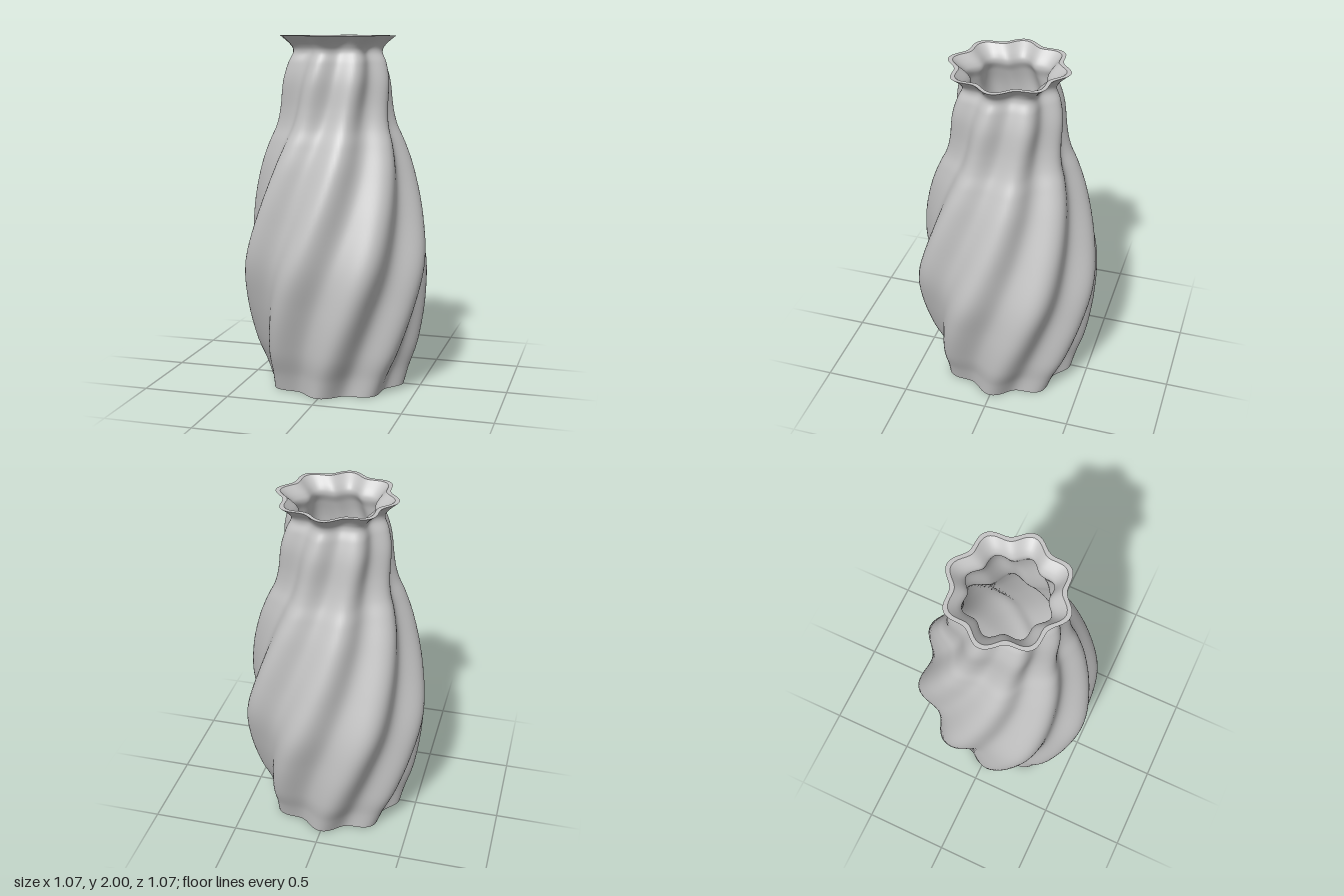
import * as THREE from 'three';

const LOBES = 8, SEGMENTS = 128, WALL = 0.025, FLOOR = 0.04;

// Crest radius and height, from base to flared lip
const crest = new THREE.SplineCurve([
  [0.4, 0], [0.425, 0.1], [0.475, 0.25], [0.523, 0.5], [0.542, 0.74], [0.502, 1.0], [0.44, 1.25],
  [0.388, 1.4], [0.345, 1.5], [0.325, 1.6], [0.315, 1.75], [0.291, 1.85], [0.265, 1.91],
  [0.281, 1.95], [0.337, 2],
].map(([r, y]) => new THREE.Vector2(r, y)));

// Fluted radius: eight lobes making a quarter turn from base to lip
function fluted(r, y, angle) {
  const phase = (2 - y) * Math.PI / 4;
  return r * (0.93 + 0.07 * Math.cos(LOBES * (angle - phase)));
}

// Surface swept round the axis; each profile row is { r, y, inset }
function sweep(rows) {
  const positions = [], index = [];
  rows.forEach(({ r, y, inset }, j) => {
    for (let i = 0; i < SEGMENTS; i++) {
      const a = i / SEGMENTS * Math.PI * 2;
      const radius = r === 0 ? 0 : fluted(r, y, a) - inset;
      positions.push(radius * Math.cos(a), y, radius * Math.sin(a));
      if (j === rows.length - 1) continue;
      const p = j * SEGMENTS + i, q = j * SEGMENTS + (i + 1) % SEGMENTS;
      index.push(p, p + SEGMENTS, q, q, p + SEGMENTS, q + SEGMENTS);
    }
  });
  const geometry = new THREE.BufferGeometry();
  geometry.setAttribute('position', new THREE.Float32BufferAttribute(positions, 3));
  geometry.setIndex(index);
  geometry.computeVertexNormals();
  return geometry;
}

export function createModel() {
  const vase = new THREE.Group();
  vase.name = 'vase';
  const ceramic = new THREE.MeshStandardMaterial({ color: 0xc4c4c4 });
  ceramic.name = 'grey ceramic';
  const add = (name, rows) => {
    const mesh = new THREE.Mesh(sweep(rows), ceramic);
    mesh.name = name;
    vase.add(mesh);
  };

  const outer = crest.getPoints(112).map(({ x, y }) => ({ r: x, y, inset: 0 }));
  const inner = outer.filter(p => p.y >= FLOOR).map(p => ({ ...p, inset: WALL })).reverse();
  const foot = outer[0], lip = outer[outer.length - 1], well = inner[inner.length - 1];

  add('base', [{ r: 0, y: 0, inset: 0 }, foot]);
  add('outerWall', outer);
  add('rim', [lip, inner[0]]);
  add('innerWall', inner);
  add('innerFloor', [well, { r: 0, y: well.y, inset: 0 }]);
  return vase;
}
